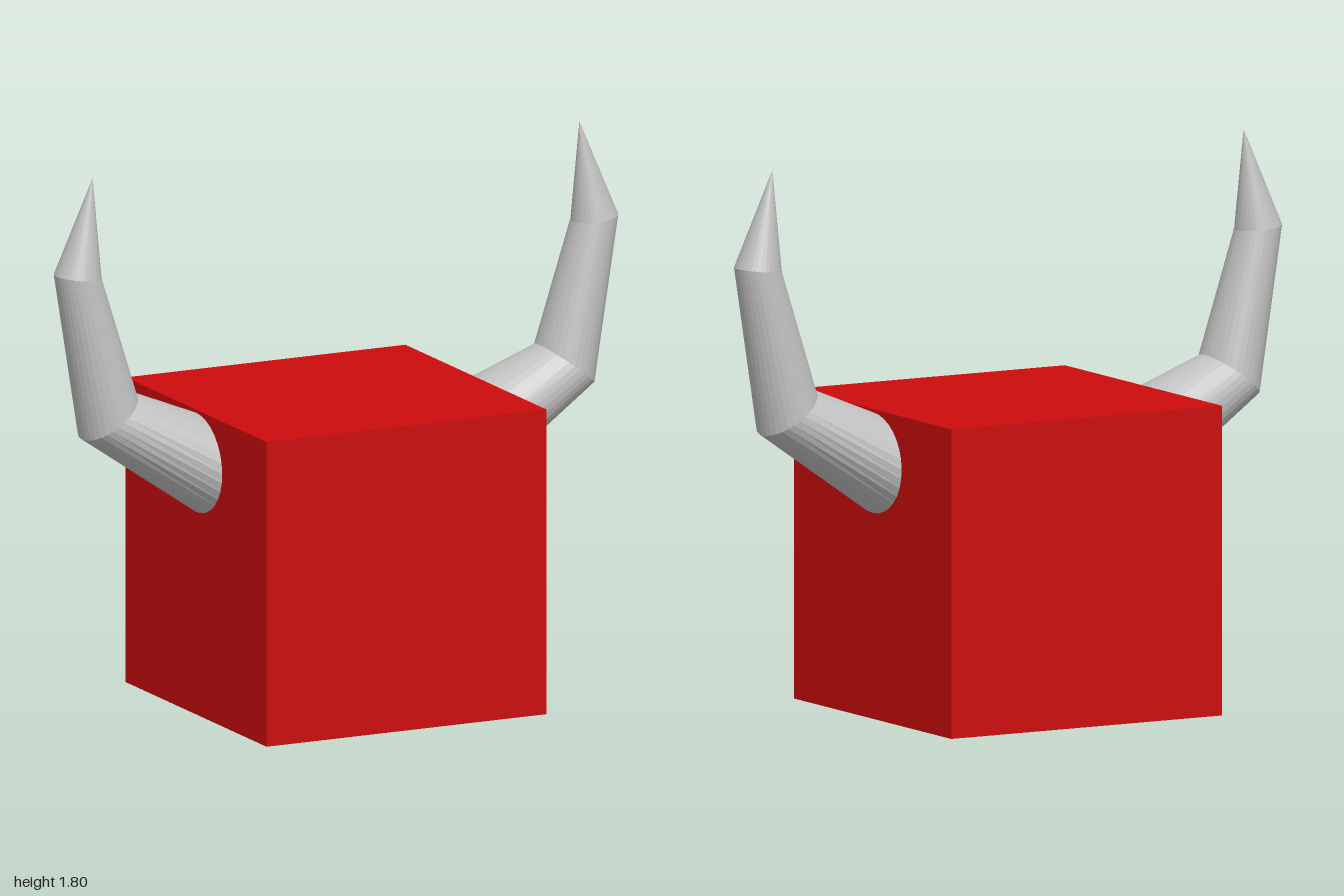
import * as THREE from 'three';

const red = new THREE.MeshStandardMaterial({ color: 0xcc0c0c });
red.name = 'red';
const grey = new THREE.MeshStandardMaterial({ color: 0xc0c0c0, flatShading: true });
grey.name = 'hornGrey';

// Horn rings: inner edge (x, y), outer edge (x, y), half width in z
const RINGS = [
  { inner: [0.45, 0.97], outer: [0.45, 0.63], width: 0.196 },
  { inner: [0.725, 1.082], outer: [0.907, 0.945], width: 0.115 },
  { inner: [0.847, 1.475], outer: [1.0, 1.49], width: 0.077 },
  { inner: [0.87, 1.8], outer: [0.87, 1.8], width: 0 },
];

// Open tube whose two ends are fitted to a pair of rings
function hornSegment(lower, upper) {
  const geometry = new THREE.CylinderGeometry(1, 1, 1, 32, 1, true);
  const p = geometry.attributes.position;
  for (let i = 0; i < p.count; i++) {
    const { inner, outer, width } = p.getY(i) > 0 ? upper : lower;
    const t = (p.getX(i) + 1) / 2;
    p.setXYZ(
      i,
      THREE.MathUtils.lerp(inner[0], outer[0], t),
      THREE.MathUtils.lerp(inner[1], outer[1], t),
      p.getZ(i) * width
    );
  }
  geometry.computeVertexNormals();
  return new THREE.Mesh(geometry, grey);
}

function horn(name) {
  const group = new THREE.Group();
  group.name = name;
  ['hornBase', 'hornShaft', 'hornTip'].forEach((part, i) => {
    const mesh = hornSegment(RINGS[i], RINGS[i + 1]);
    mesh.name = part;
    group.add(mesh);
  });
  return group;
}

export function createModel() {
  const model = new THREE.Group();
  model.name = 'hornedCube';

  // Cube body
  const body = new THREE.Mesh(new THREE.BoxGeometry(1, 1, 1), red);
  body.name = 'body';
  body.position.y = 0.5;
  model.add(body);

  // Matching horns, one turned half way round
  const leftHorn = horn('leftHorn');
  const rightHorn = horn('rightHorn');
  rightHorn.rotation.y = Math.PI;
  model.add(leftHorn, rightHorn);

  return model;
}
